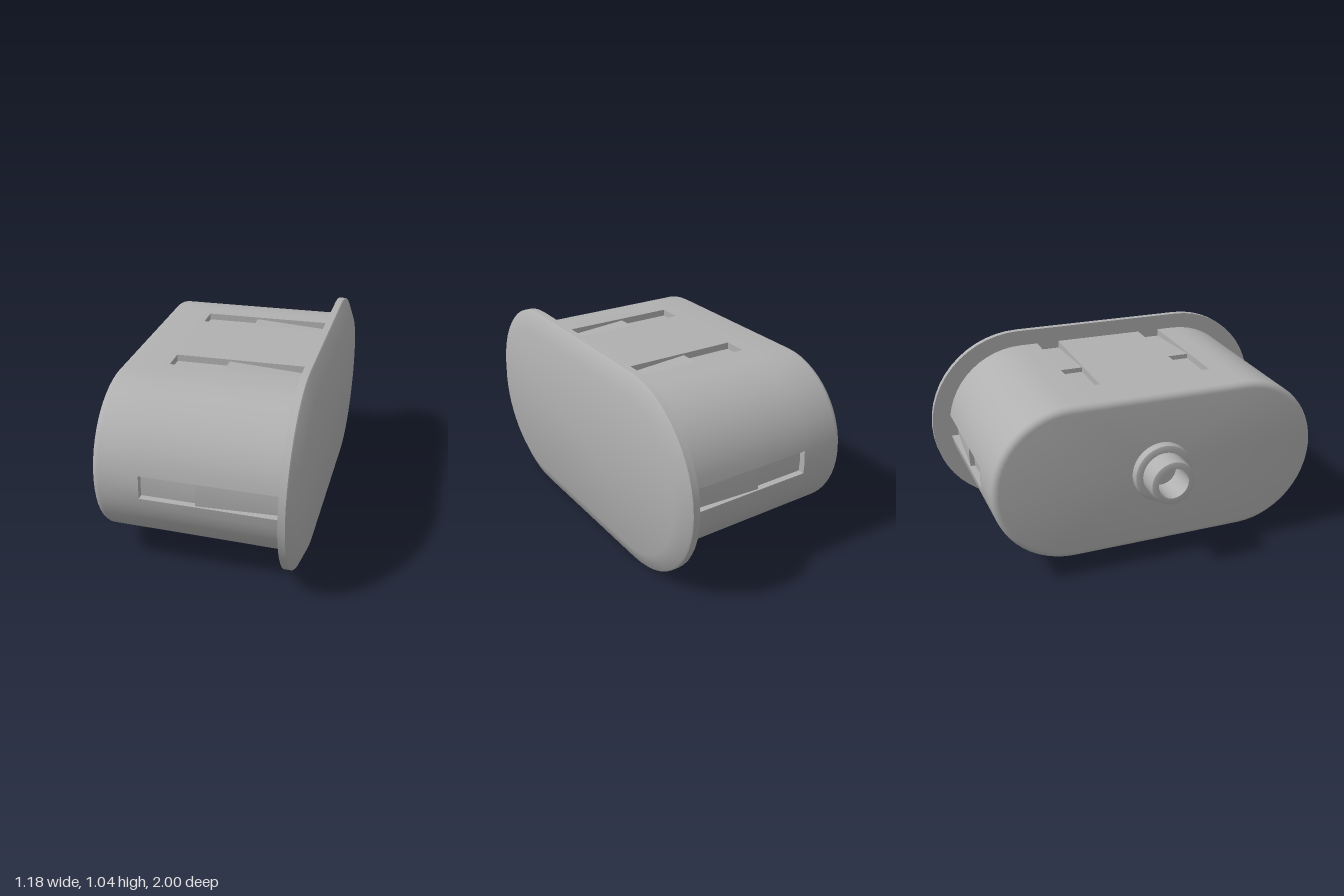
import * as THREE from 'three';
import { toCreasedNormals } from 'three/addons/utils/BufferGeometryUtils.js';

const HALF_SLOT = 0.0625;
const SLOT_Z = 0.31;

// Rounded-end outline, anticlockwise seen from +x. Each point has a base z,
// a direction (nz, ny) scaled by the radius, and a slot direction to sink along.
function outline(straight) {
  const half = [];
  const edge = 0.148, steps = 12;
  const arc = (a, sunk) => half.push({
    z: -straight, nz: -Math.cos(a), ny: Math.sin(a), dz: sunk ? -1 : 0, dy: 0,
  });
  const at = (i) => edge + (Math.PI / 2 - edge) * i / steps;
  for (let i = steps; i >= 0; i--) arc(-at(i), false);
  for (const a of [-edge, 0, edge]) arc(a, true);
  for (let i = 0; i <= steps; i++) arc(at(i), false);
  for (const c of [-SLOT_Z, SLOT_Z]) {
    for (const [side, dy] of [[-1, 0], [-1, 1], [1, 1], [1, 0]]) {
      half.push({ z: c + side * HALF_SLOT, nz: 0, ny: 1, dz: 0, dy });
    }
  }
  const mirrored = half.map((p) => ({ z: -p.z, nz: -p.nz, ny: -p.ny, dz: -p.dz, dy: -p.dy }));
  return [...half, ...mirrored];
}

// Skin the outline through stations [x, radius, slotDepth], with both ends closed.
function loft(straight, stations, crease) {
  const points = outline(straight);
  const n = points.length;
  const pos = [], idx = [];
  for (const [x, r, depth = 0] of stations) {
    for (const p of points) {
      pos.push(x, p.ny * r - p.dy * depth, p.z + p.nz * r - p.dz * depth);
    }
  }
  const last = stations.length - 1;
  const c0 = pos.length / 3;
  pos.push(stations[0][0], 0, 0, stations[last][0], 0, 0);
  for (let j = 0; j < n; j++) {
    const k = (j + 1) % n;
    for (let i = 0; i < last; i++) {
      const a = i * n + j, b = i * n + k;
      idx.push(a, b, b + n, a, b + n, a + n);
    }
    idx.push(c0, k, j, c0 + 1, last * n + j, last * n + k);
  }
  const geo = new THREE.BufferGeometry();
  geo.setAttribute('position', new THREE.Float32BufferAttribute(pos, 3));
  geo.setIndex(idx);
  return toCreasedNormals(geo, crease);
}

export function createModel() {
  const grey = new THREE.MeshStandardMaterial({ color: 0xb0b0b0 });
  grey.name = 'plain grey';
  const model = new THREE.Group();
  model.name = 'plug';
  const tilted = new THREE.Group();
  tilted.name = 'plugBody';
  tilted.position.y = 0.521;
  tilted.rotation.x = 0.009;
  model.add(tilted);

  const add = (name, geo) => {
    const mesh = new THREE.Mesh(geo, grey);
    mesh.name = name;
    tilted.add(mesh);
  };

  // Tapered housing: rounded back edge, then six slots with a ramped catch
  const stations = [];
  for (let i = 0; i <= 5; i++) {
    const a = (i / 5) * Math.PI / 2;
    stations.push([-0.395 - 0.035 * Math.cos(a), 0.385 + 0.035 * Math.sin(a)]);
  }
  stations.push(
    [-0.19, 0.422], [-0.19, 0.422, 0.035],
    [0.09, 0.425, 0.035], [0.09, 0.425, 0.01],
    [0.512, 0.43, 0.04],
  );
  add('housing', loft(0.472, stations, 0.6));

  // Wide cover plate with a chamfered rim
  add('coverPlate', loft(0.485, [
    [0.51, 0.515], [0.545, 0.515], [0.552, 0.508], [0.59, 0.417],
  ], 0.5));

  // Stepped hollow spigot with small rounded edges, turned about the x axis
  const profile = [
    [0.16, 0.42], [0.16, 0.46], [0.156, 0.471], [0.145, 0.475],
    [0.12, 0.475], [0.12, 0.578], [0.117, 0.587], [0.108, 0.59],
    [0.082, 0.59], [0.082, 0.432], [0, 0.432],
  ].map(([r, h]) => new THREE.Vector2(r, h));
  const spigot = new THREE.LatheGeometry(profile, 40);
  spigot.rotateZ(Math.PI / 2);
  add('spigot', toCreasedNormals(spigot, 0.8));

  return model;
}
